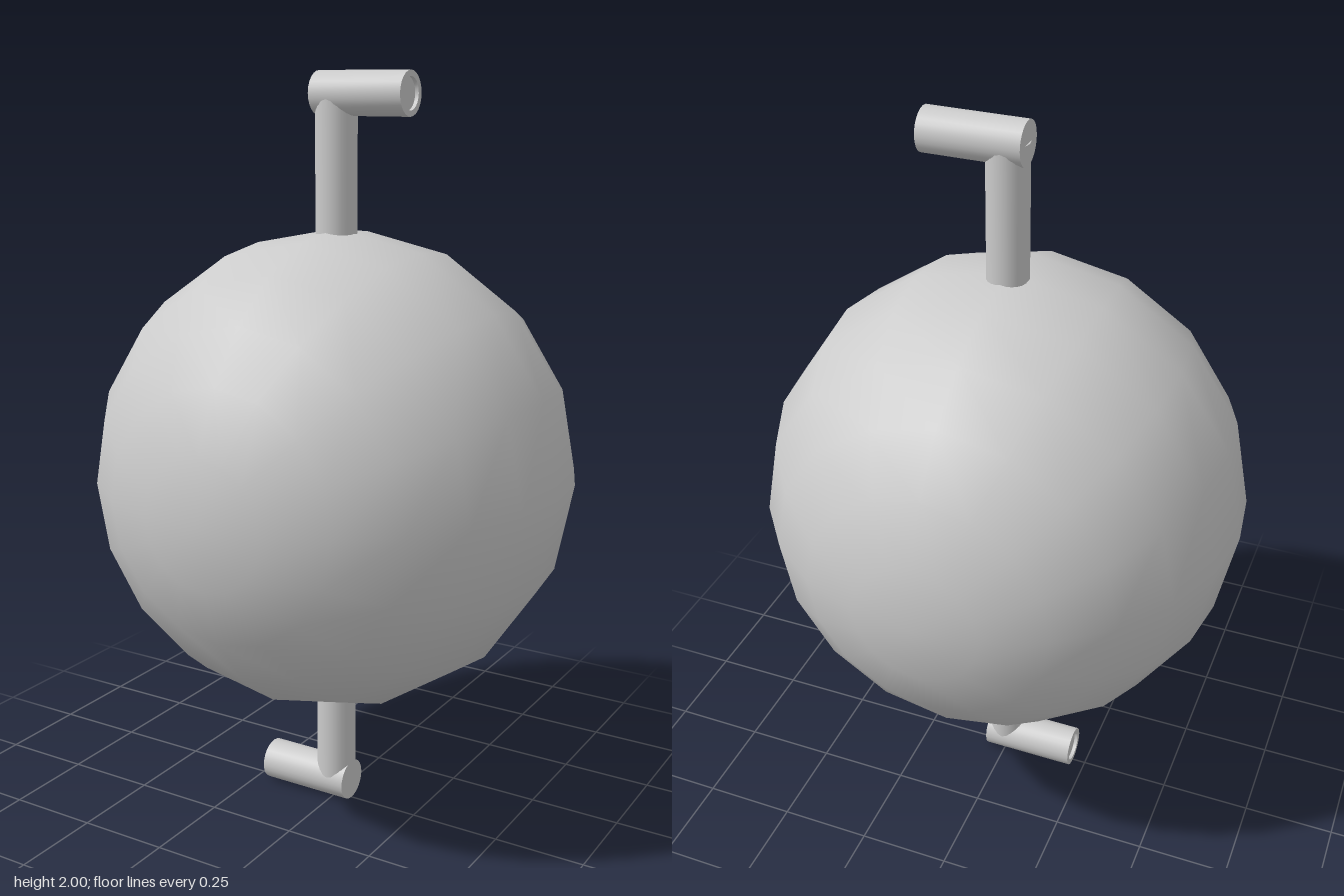
import * as THREE from 'three';
import { toCreasedNormals } from 'three/addons/utils/BufferGeometryUtils.js';

export function createModel() {
  const model = new THREE.Group();
  model.name = 'crankBall';
  const material = new THREE.MeshStandardMaterial({ color: 0xcccccc });

  const add = (parent, geometry, name) => {
    const mesh = new THREE.Mesh(geometry, material);
    mesh.name = name;
    parent.add(mesh);
    return mesh;
  };

  // Faceted-outline ball with its poles facing front and back
  const ball = add(model, new THREE.SphereGeometry(0.638, 16, 12).rotateX(Math.PI / 2), 'ball');
  ball.position.y = 0.968;

  // Short grip along x with a shallow dish in its outer end
  const profile = [
    [0, -0.05], [0.056, -0.05], [0.056, 0.212],
    [0.041, 0.212], [0.041, 0.202], [0, 0.202],
  ].map(([r, y]) => new THREE.Vector2(r, y));
  const gripGeometry = toCreasedNormals(new THREE.LatheGeometry(profile, 24), 0.7)
    .rotateZ(-Math.PI / 2);

  // Upright post running from inside the ball to the middle of the grip
  const postGeometry = new THREE.CylinderGeometry(0.054, 0.054, 0.5, 24);

  const makeCrank = (name) => {
    const crank = new THREE.Group();
    crank.name = name;
    add(crank, postGeometry, 'post').position.y = -0.25;
    add(crank, gripGeometry, 'grip');
    model.add(crank);
    return crank;
  };

  // The lower crank is the upper one turned half round
  makeCrank('upperCrank').position.y = 1.944;
  const lower = makeCrank('lowerCrank');
  lower.position.y = 0.056;
  lower.rotation.z = Math.PI;

  return model;
}
